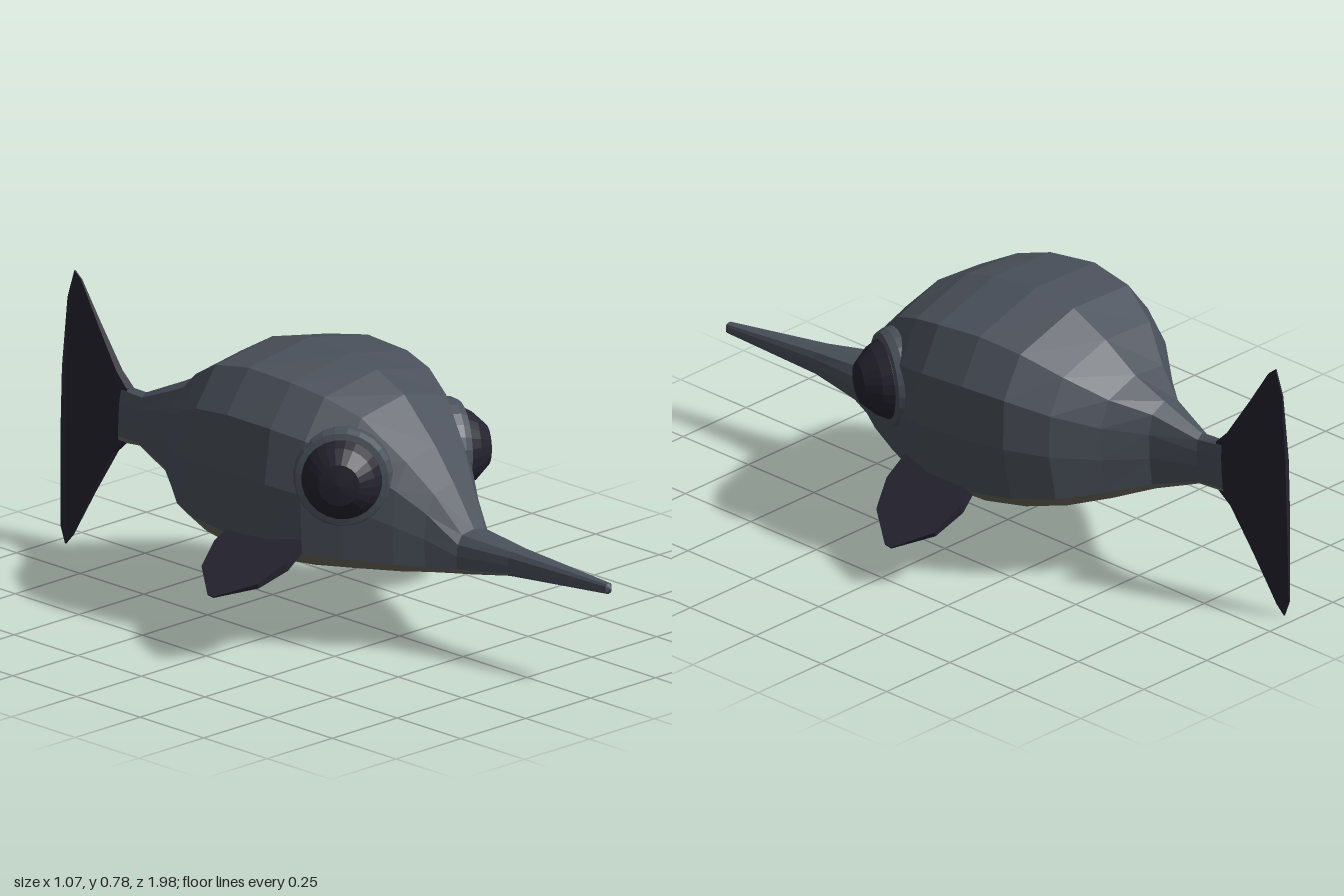
import * as THREE from 'three';

const flat = (name, color, extra = {}) => {
  const m = new THREE.MeshStandardMaterial({ color, flatShading: true, ...extra });
  m.name = name;
  return m;
};

// Body sections: z, half width, top y, colour boundary y, bottom y
const SECTIONS = [
  [-0.78, 0.02, 0.495, 0.35, 0.33],
  [-0.70, 0.028, 0.49, 0.35, 0.335],
  [-0.57, 0.075, 0.55, 0.32, 0.285],
  [-0.47, 0.165, 0.60, 0.30, 0.245],
  [-0.37, 0.265, 0.68, 0.29, 0.215],
  [-0.26, 0.33, 0.745, 0.285, 0.19],
  [-0.13, 0.352, 0.77, 0.275, 0.17],
  [0.02, 0.343, 0.757, 0.27, 0.17],
  [0.12, 0.31, 0.732, 0.26, 0.18],
  [0.22, 0.25, 0.682, 0.255, 0.192],
  [0.34, 0.17, 0.56, 0.25, 0.205],
  [0.41, 0.115, 0.47, 0.25, 0.215],
  [0.49, 0.07, 0.355, 0.252, 0.225],
  [0.65, 0.04, 0.335, 0.268, 0.255],
  [0.98, 0.013, 0.305, 0.28, 0.274],
  [0.99, 0.001, 0.291, 0.29, 0.289],
];

// Half outlines of one section, then mirrored into a full arc
function upperArc([z, w, top, edge]) {
  const h = top - edge;
  const half = [[0.93, 0], [1, 0.36], [0.96, 0.68], [0.72, 0.92]]
    .map(([a, b]) => [a * w, edge + b * h, z]);
  return [...half, [0, top, z], ...half.map(([x, y]) => [-x, y, z]).reverse()];
}
function lowerArc([z, w, , edge, bottom]) {
  const y = THREE.MathUtils.lerp(edge, bottom, 0.55);
  return [[-0.93 * w, edge, z], [-0.74 * w, y, z], [0, bottom, z], [0.74 * w, y, z], [0.93 * w, edge, z]];
}

// Skin a list of arcs running from back to front
function skin(arcs) {
  const n = arcs[0].length, index = [];
  for (let i = 0; i < arcs.length - 1; i++) {
    for (let j = 0; j < n - 1; j++) {
      const a = i * n + j, c = a + n;
      index.push(a, a + 1, c, a + 1, c + 1, c);
    }
  }
  const g = new THREE.BufferGeometry();
  g.setAttribute('position', new THREE.Float32BufferAttribute(arcs.flat(2), 3));
  g.setIndex(index);
  g.computeVertexNormals();
  return g;
}

// Plate whose thickness follows a rule of its outline position
function taperedPlate(points, thickness) {
  const shape = new THREE.Shape(points.map(p => new THREE.Vector2(...p)));
  const g = new THREE.ExtrudeGeometry(shape, { depth: 1, bevelEnabled: false });
  const p = g.attributes.position;
  for (let i = 0; i < p.count; i++) {
    p.setZ(i, (p.getZ(i) - 0.5) * thickness(p.getX(i), p.getY(i)));
  }
  g.computeVertexNormals();
  return g;
}

const lathe = (points, sides) =>
  new THREE.LatheGeometry(points.map(p => new THREE.Vector2(...p)), sides);

export function createModel() {
  const slate = flat('slate skin', 0x4a505a, { side: THREE.DoubleSide });
  const belly = flat('pale belly', 0x6c685c, { side: THREE.DoubleSide });
  const dark = flat('dark fin and eye', 0x25232f);

  const model = new THREE.Group();
  model.name = 'fish';
  const add = (name, geometry, material) => {
    const mesh = new THREE.Mesh(geometry, material);
    mesh.name = name;
    model.add(mesh);
    return mesh;
  };

  // Back, flanks and long beak, with the belly below
  add('body', skin(SECTIONS.map(upperArc)), slate);
  add('belly', skin(SECTIONS.slice(0, 14).map(lowerArc)), belly);
  add('beakUnderside', skin(SECTIONS.slice(13).map(lowerArc)), slate);

  // Tall tail fin, drawn in (-z, y)
  const tail = taperedPlate([
    [0.76, 0.34], [0.80, 0.30], [0.87, 0.17], [0.94, 0.03], [0.965, 0], [0.985, 0.05], [0.995, 0.3],
    [1, 0.5], [0.995, 0.7], [0.975, 0.78], [0.95, 0.76], [0.88, 0.65], [0.80, 0.53], [0.76, 0.49],
  ], (x, y) => Math.max(0.005, 0.034 - 0.05 * Math.abs(y - 0.41) - 0.06 * (x - 0.76)));
  tail.rotateY(Math.PI / 2);
  add('tailFin', tail, dark);

  // Drooping side fins
  const sideFin = taperedPlate([
    [-0.04, -0.11], [0.09, -0.135], [0.19, -0.11], [0.275, -0.015],
    [0.27, 0.01], [0.18, 0.1], [0.08, 0.13], [-0.04, 0.12],
  ], x => 0.004 + 0.13 * Math.max(0, 0.275 - x));
  sideFin.rotateX(Math.PI / 2);
  sideFin.rotateZ(-0.46);

  // Bulging eyes in a raised rim
  const rim = lathe([[0.145, -0.05], [0.14, 0.005], [0.13, 0.025], [0.108, 0.03], [0.1, 0.01]], 24);
  const eye = lathe([[0.115, 0], [0.112, 0.03], [0.096, 0.06], [0.058, 0.1], [0, 0.108]], 24);
  const up = new THREE.Vector3(0, 1, 0);

  for (const [side, s] of [['left', 1], ['right', -1]]) {
    const fin = add(side + 'SideFin', sideFin, dark);
    fin.position.set(s * 0.29, 0.28, 0);
    if (s < 0) fin.rotation.y = Math.PI;

    const facing = new THREE.Vector3(s * 0.83, 0.03, 0.55).normalize();
    for (const part of [add(side + 'EyeRim', rim, slate), add(side + 'Eye', eye, dark)]) {
      part.position.set(s * 0.23, 0.485, 0.205);
      part.quaternion.setFromUnitVectors(up, facing);
    }
  }

  // Slight swimming turn and lean
  model.rotation.set(0, 0.09, -0.065);
  model.position.x = -0.012;
  const root = new THREE.Group();
  root.name = 'swimmingFish';
  root.add(model);
  return root;
}
